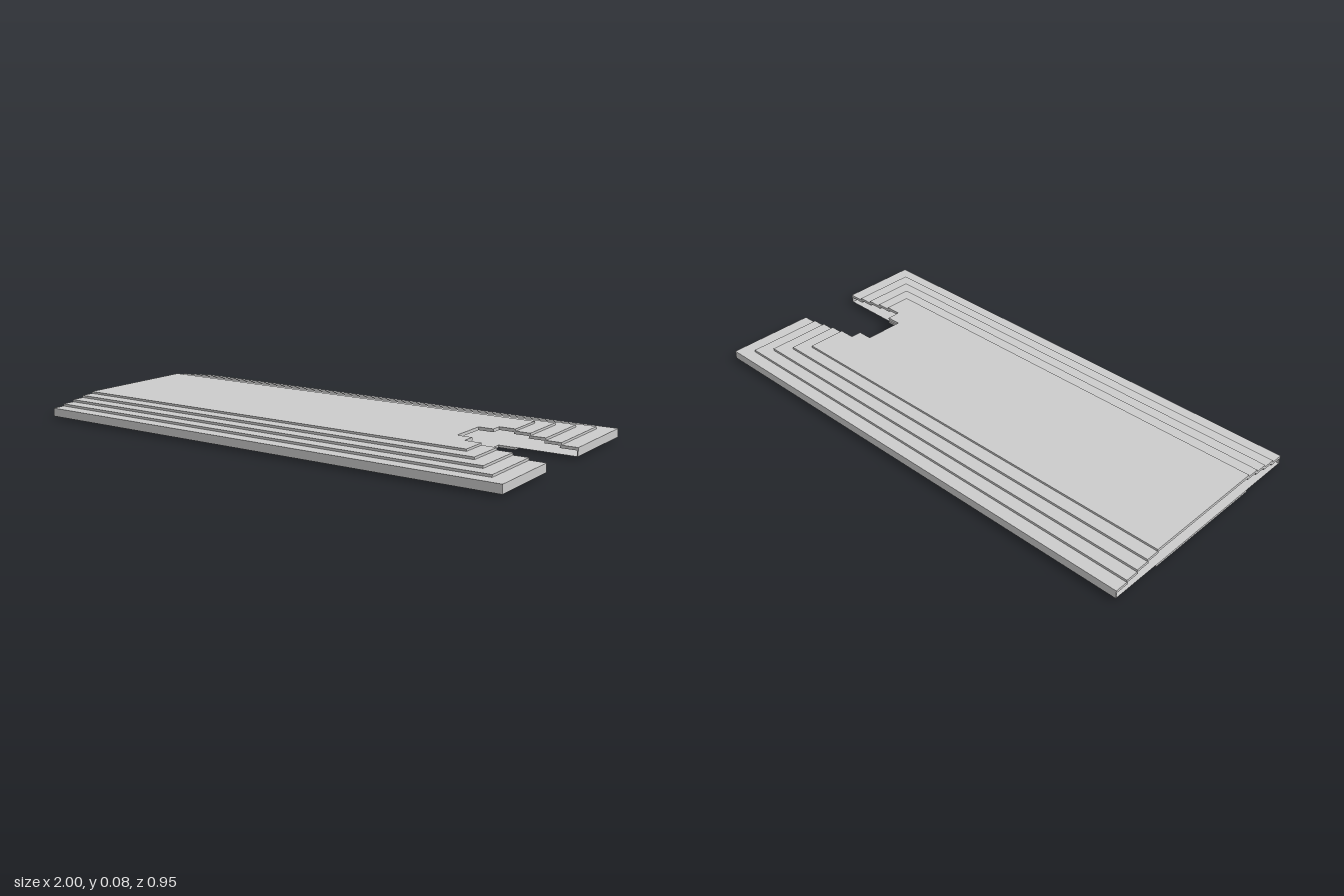
import * as THREE from 'three';

const mat = new THREE.MeshStandardMaterial({ color: 0xcccccc, side: THREE.DoubleSide, flatShading: true });

// Notch cut into the +x end, and the small hatch behind it
const NOTCH = { x: 0.695, z0: -0.105, z1: 0.155 };
const HATCH = { x: 0.635, z0: -0.06, z1: 0.1 };
const FLOOR = 0.009;

// Outer edge (x, z) and top height of each step, lowest first
const STEPS = [
  { x: 1.0, z: 0.475, top: 0.042 },
  { x: 0.937, z: 0.422, top: 0.051 },
  { x: 0.878, z: 0.37, top: 0.06 },
  { x: 0.818, z: 0.317, top: 0.069 },
  { x: 0.76, z: 0.264, top: 0.077 },
];

const outline = (points) => new THREE.Shape(points.map(([x, z]) => new THREE.Vector2(x, z)));

// Flat plate drawn in x/z, hanging down from the given height
function plate(name, points, top, thickness) {
  const shape = outline(points);
  const geo = thickness > 0
    ? new THREE.ExtrudeGeometry(shape, { depth: thickness, bevelEnabled: false })
    : new THREE.ShapeGeometry(shape);
  geo.rotateX(Math.PI / 2);
  const mesh = new THREE.Mesh(geo, mat);
  mesh.name = name;
  mesh.position.y = top;
  return mesh;
}

// Rectangle from x0 to x1 with the notch taken out of its +x end
function notched(x0, x1, z, hatch = false) {
  const { x, z0, z1 } = NOTCH;
  const h = HATCH;
  const cut = hatch ? [[x, h.z0], [h.x, h.z0], [h.x, h.z1], [x, h.z1]] : [];
  return [[x0, -z], [x1, -z], [x1, z0], [x, z0], ...cut, [x, z1], [x1, z1], [x1, z], [x0, z]];
}

export function createModel() {
  const group = new THREE.Group();
  group.name = 'steppedPlatform';

  // L-shaped step bands on either side of the notch, open at the -x end
  for (let i = 0; i < STEPS.length - 1; i++) {
    const s = STEPS[i];
    const next = STEPS[i + 1];
    const xi = next.x - 0.006;
    const zi = next.z - 0.006;
    for (const side of [1, -1]) {
      const n = side > 0 ? NOTCH.z1 : NOTCH.z0;
      const band = [
        [-1, side * s.z], [s.x, side * s.z], [s.x, n],
        [xi, n], [xi, side * zi], [-1, side * zi],
      ];
      group.add(plate(side > 0 ? 'frontStep' : 'backStep', band, s.top, 0.011));
    }
  }

  // Top deck with notch and hatch
  const deck = STEPS[4];
  group.add(plate('topDeck', notched(-1, deck.x, deck.z, true), deck.top, 0.012));

  // Thin outer walls of the base
  const base = STEPS[0];
  const t = 0.004;
  for (const side of [1, -1]) {
    const n = side > 0 ? NOTCH.z1 : NOTCH.z0;
    const wall = [
      [-1, side * base.z], [1, side * base.z], [1, n],
      [1 - t, n], [1 - t, side * (base.z - t)], [-1, side * (base.z - t)],
    ];
    group.add(plate(side > 0 ? 'frontWall' : 'backWall', wall, base.top - 0.001, base.top - 0.001 - FLOOR));
  }

  // Floor sheet and the two raised panels under it
  group.add(plate('floor', notched(-1, 1, base.z), FLOOR, 0));
  group.add(plate('undersidePanel', notched(-0.76, 0.76, deck.z), FLOOR, FLOOR));
  group.add(plate('undersideEndPanel', [[-1, -deck.z], [-0.82, -deck.z], [-0.82, deck.z], [-1, deck.z]], FLOOR, FLOOR));

  return group;
}
